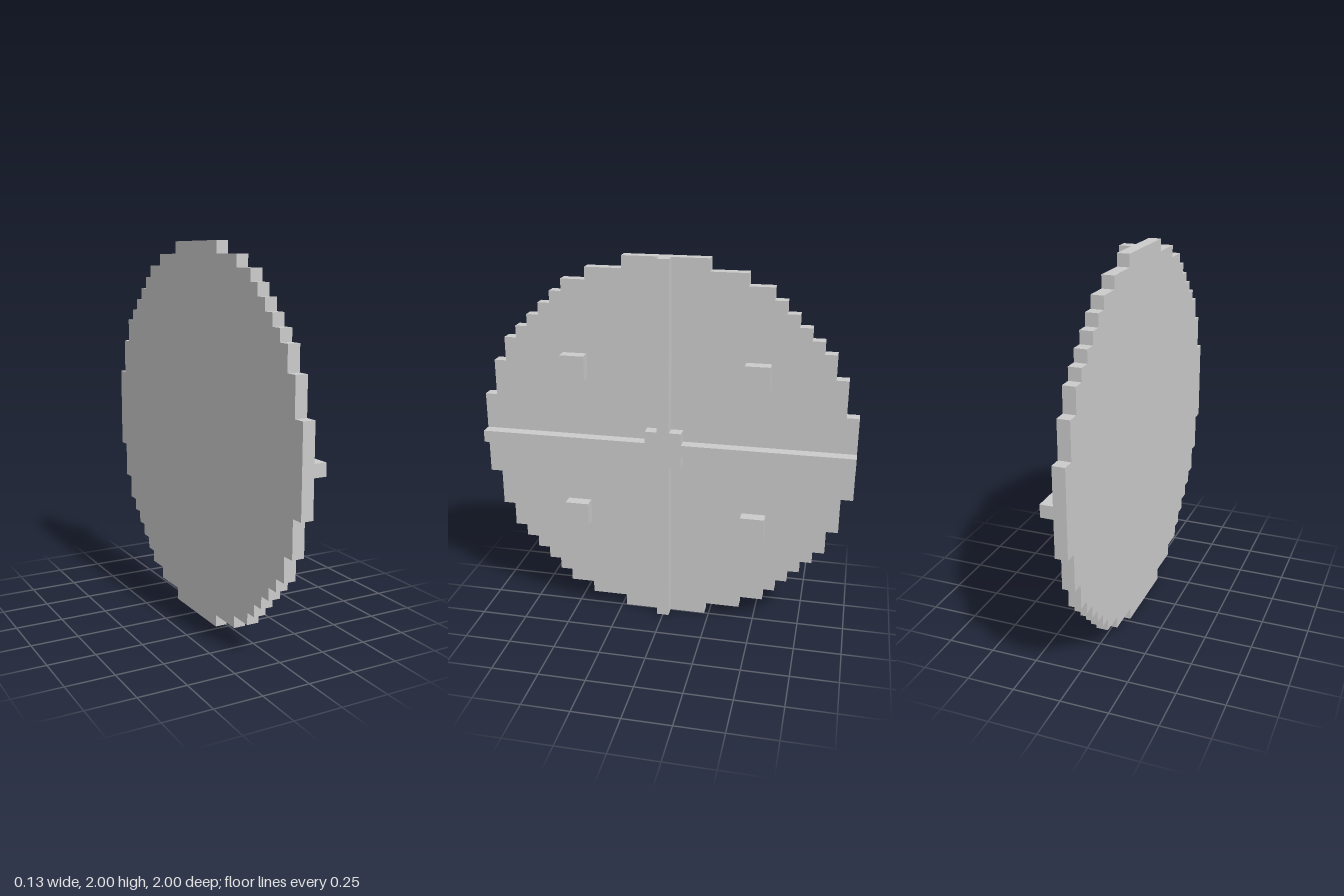
import * as THREE from 'three';

const U = 2 / 31; // one block of the 31-block-wide disc

// Mirrors a stepped quarter outline ([z, y] in blocks) into a closed four-way symmetric shape
function steppedShape(quarter) {
  const flipped = [...quarter].reverse();
  const points = [
    ...quarter,
    ...flipped.map(([z, y]) => [-z, y]),
    ...quarter.map(([z, y]) => [-z, -y]),
    ...flipped.map(([z, y]) => [z, -y]),
  ];
  return new THREE.Shape(points.map(([z, y]) => new THREE.Vector2(z * U, y * U)));
}

export function createModel() {
  const model = new THREE.Group();
  model.name = 'blockDisc';
  const material = new THREE.MeshStandardMaterial({ color: 0xcccccc, flatShading: true });

  // Extrudes one block thick along +x, starting at the given x
  const addLayer = (name, quarter, x) => {
    const geometry = new THREE.ExtrudeGeometry(steppedShape(quarter), { depth: U, bevelEnabled: false });
    geometry.rotateY(Math.PI / 2);
    const mesh = new THREE.Mesh(geometry, material);
    mesh.name = name;
    mesh.position.set(x, 1, 0);
    model.add(mesh);
  };

  // Round plate with a staircase rim
  const steps = [3.5, 6.5, 8.5, 9.5, 10.5, 11.5, 12.5, 13.5, 14.5, 15.5];
  const rim = [];
  for (let i = 0; i < steps.length; i++) {
    const z = steps[steps.length - 1 - i];
    rim.push([z, i ? steps[i - 1] : 0], [z, steps[i]]);
  }
  addLayer('plate', rim.slice(1), -U);

  // Crossed ribs joined by a square hub
  addLayer('ribsAndHub', [[15.5, 0.5], [1.5, 0.5], [1.5, 1.5], [0.5, 1.5], [0.5, 15.5]], 0);

  // One square peg in each quarter
  const pegGeometry = new THREE.BoxGeometry(U, 2 * U, 2 * U);
  for (const sy of [1, -1]) {
    for (const sz of [1, -1]) {
      const peg = new THREE.Mesh(pegGeometry, material);
      peg.name = `${sy > 0 ? 'upper' : 'lower'}${sz > 0 ? 'Front' : 'Back'}Peg`;
      peg.position.set(U / 2, 1 + sy * 6.5 * U, sz * 7.5 * U);
      model.add(peg);
    }
  }
  return model;
}
